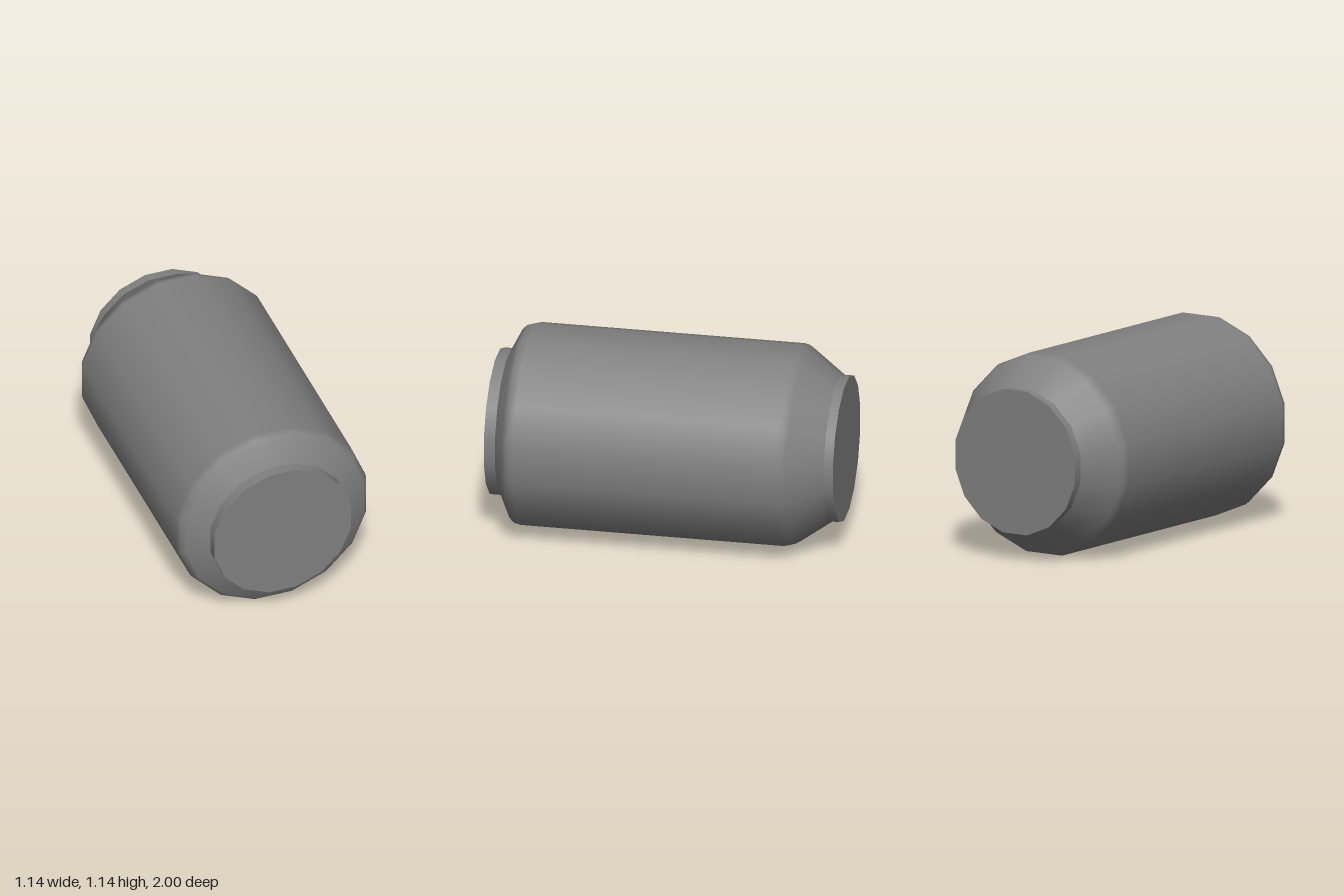
import * as THREE from 'three';

const SIDES = 16;
const TURN = Math.PI / SIDES; // half a side, so flats face up, down and sideways
const K = 1 / Math.cos(TURN); // flat-to-flat radius -> corner radius
const HALF_HEIGHT = 0.569;
const RIM = 0.411;

export function createModel() {
  const can = new THREE.Group();
  can.name = 'can';
  const material = new THREE.MeshStandardMaterial({ color: 0x808080 });

  const add = (name, geometry, z = 0) => {
    geometry.rotateX(Math.PI / 2); // lay the axis along z
    const mesh = new THREE.Mesh(geometry, material);
    mesh.name = name;
    mesh.position.set(0, HALF_HEIGHT, z);
    can.add(mesh);
  };

  // Body: [radius, z] from the long back shoulder to the short front one
  const profile = [
    [RIM, -0.947], [0.545, -0.758], [0.562, -0.73], [0.569, -0.70],
    [0.569, 0.806], [0.558, 0.848], [0.533, 0.875], [RIM, 0.936],
  ].map(([r, z]) => new THREE.Vector2(r * K, z));
  add('body', new THREE.LatheGeometry(profile, SIDES, TURN));

  // Straight closed rims at both ends
  const addRim = (name, z0, z1) => add(name,
    new THREE.CylinderGeometry(RIM * K, RIM * K, z1 - z0, SIDES, 1, false, TURN), (z0 + z1) / 2);
  addRim('topRim', -1, -0.947);
  addRim('bottomRim', 0.936, 1);

  return can;
}
